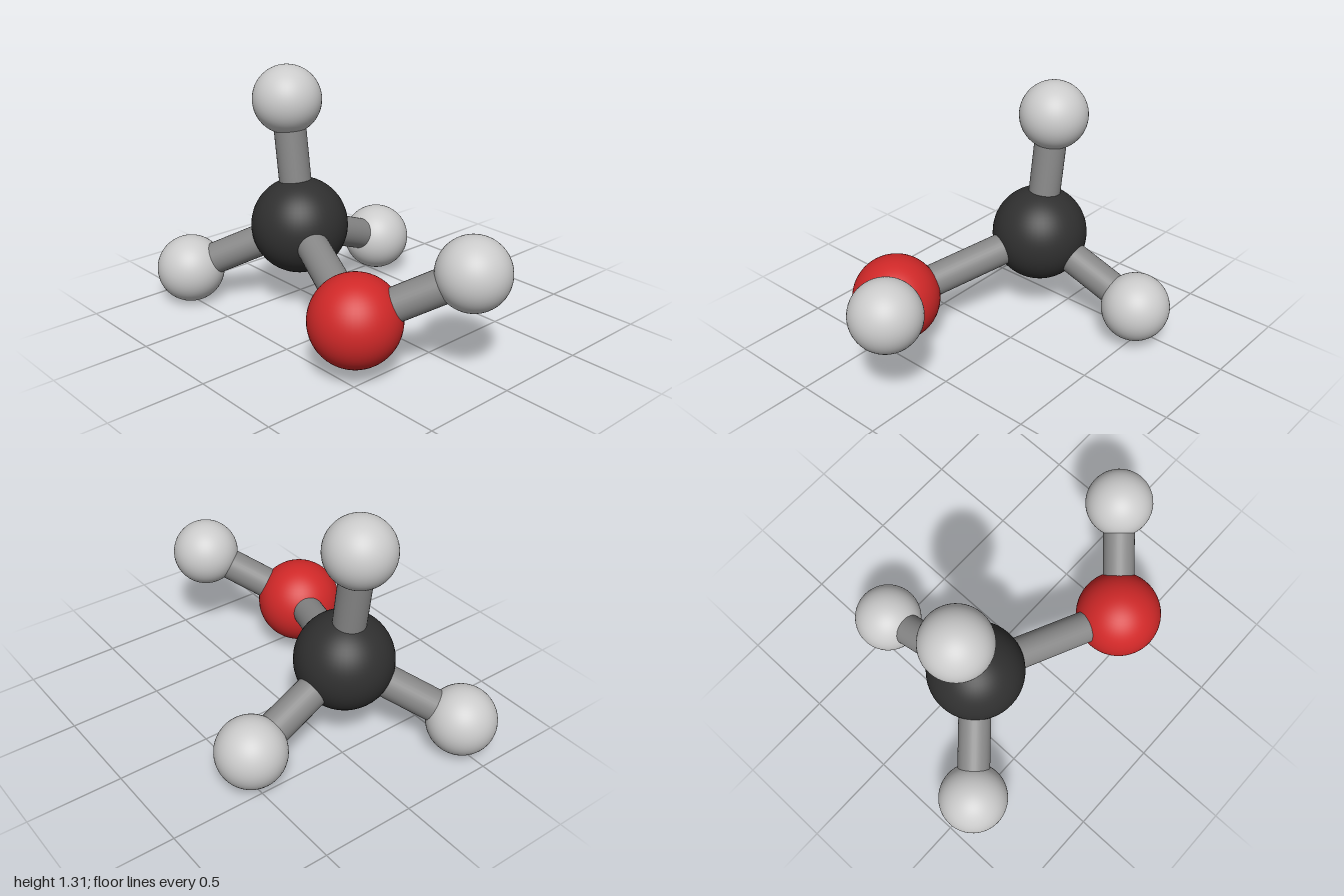
import * as THREE from 'three';

// Ball-and-stick molecule: atoms as balls, bonds as rods between centres.
export function createModel() {
  const group = new THREE.Group();
  const material = (color) => new THREE.MeshStandardMaterial({ color });
  const dark = material(0x303030);
  const red = material(0xd02828);
  const pale = material(0xcccccc);
  const rod = material(0x888888);
  const BOND_RADIUS = 0.085;

  const atoms = {
    carbon: { at: [-0.363, 0.463, 0.106], r: 0.256, mat: dark },
    oxygen: { at: [0.422, 0.29, 0.421], r: 0.229, mat: red },
    topHydrogen: { at: [-0.455, 1.126, 0.098], r: 0.181, mat: pale },
    rightHydrogen: { at: [-0.819, 0.182, 0.504], r: 0.181, mat: pale },
    backHydrogen: { at: [-0.42, 0.213, -0.506], r: 0.181, mat: pale },
    hydroxylHydrogen: { at: [0.819, 0.548, 0.056], r: 0.181, mat: pale },
  };

  // Atoms
  for (const [name, { at, r, mat }] of Object.entries(atoms)) {
    const ball = new THREE.Mesh(new THREE.SphereGeometry(r, 48, 32), mat);
    ball.position.set(...at);
    ball.name = name;
    group.add(ball);
  }

  // Bonds
  const up = new THREE.Vector3(0, 1, 0);
  const addBond = (from, to) => {
    const a = new THREE.Vector3(...atoms[from].at);
    const b = new THREE.Vector3(...atoms[to].at);
    const axis = b.clone().sub(a);
    const bond = new THREE.Mesh(
      new THREE.CylinderGeometry(BOND_RADIUS, BOND_RADIUS, axis.length(), 32), rod);
    bond.position.copy(a).add(b).multiplyScalar(0.5);
    bond.quaternion.setFromUnitVectors(up, axis.normalize());
    bond.name = `${to}Bond`;
    group.add(bond);
  };
  for (const to of ['oxygen', 'topHydrogen', 'rightHydrogen', 'backHydrogen']) addBond('carbon', to);
  addBond('oxygen', 'hydroxylHydrogen');

  return group;
}
